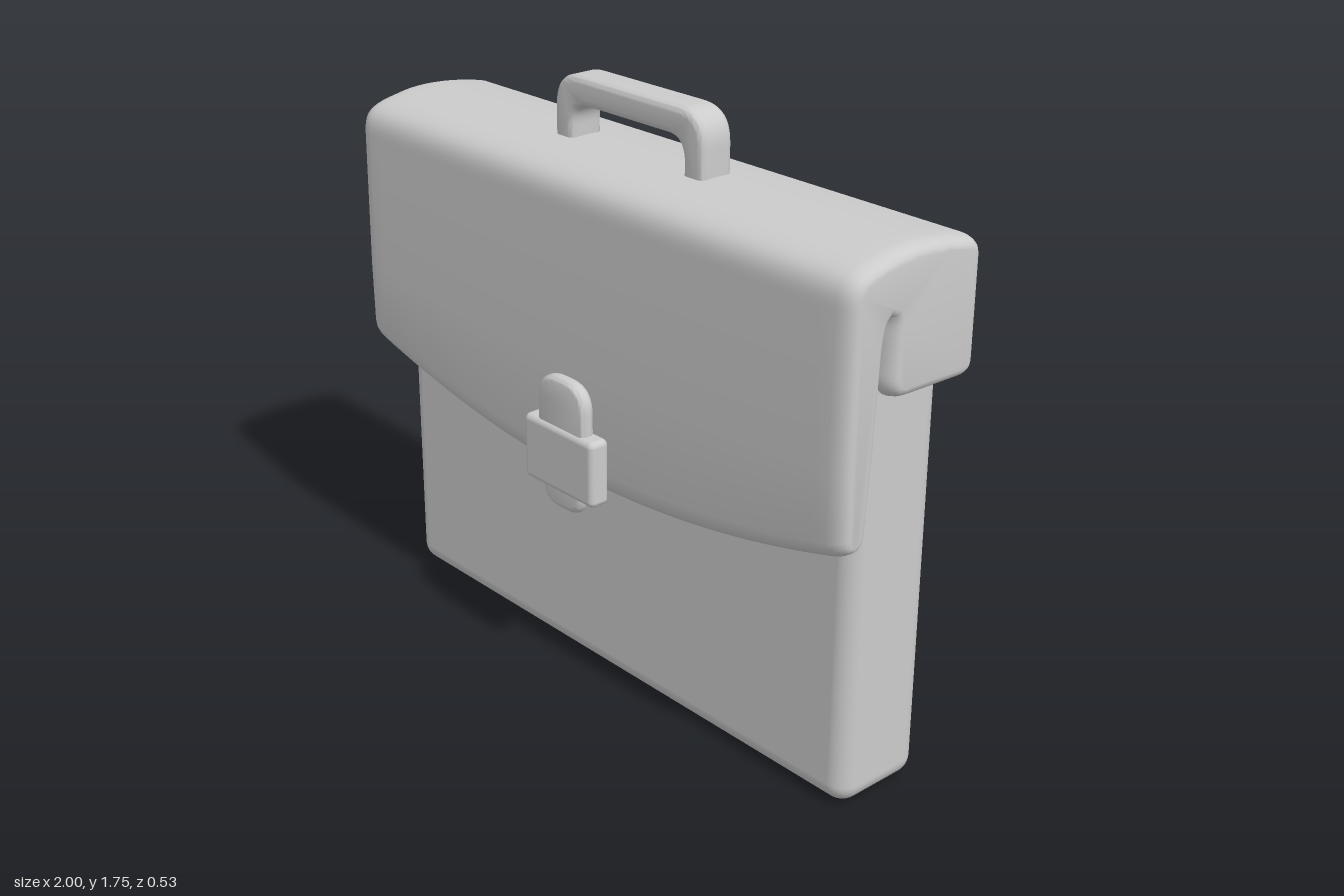
import * as THREE from 'three';
import { toCreasedNormals } from 'three/addons/utils/BufferGeometryUtils.js';
import { RoundedBoxGeometry } from 'three/addons/geometries/RoundedBoxGeometry.js';

const material = new THREE.MeshStandardMaterial({ color: 0xcccccc });

function part(name, geometry, x = 0, y = 0, z = 0) {
  const mesh = new THREE.Mesh(geometry, material);
  mesh.name = name;
  mesh.position.set(x, y, z);
  return mesh;
}

// Extrudes a shape to a total depth, centred, with rounded edges inside the outline
function softExtrude(shape, depth, bevelSize, bevelThickness = bevelSize, steps = 1) {
  const geometry = new THREE.ExtrudeGeometry(shape, {
    depth: depth - 2 * bevelThickness, steps, curveSegments: 10,
    bevelSize, bevelThickness, bevelOffset: -bevelSize, bevelSegments: 5,
  });
  return geometry.translate(0, 0, bevelThickness - depth / 2);
}

// Cover: side profile (z, y) swept across the width, with a bowed lower edge
function coverGeometry() {
  const s = new THREE.Shape();
  s.moveTo(-0.21, 1.17);
  s.quadraticCurveTo(-0.265, 1.17, -0.265, 1.225);
  s.lineTo(-0.265, 1.49);
  s.quadraticCurveTo(-0.265, 1.54, -0.21, 1.547);
  s.bezierCurveTo(-0.1, 1.57, 0, 1.575, 0.08, 1.555);
  s.bezierCurveTo(0.17, 1.54, 0.2, 1.52, 0.2, 1.45);
  s.lineTo(0.203, 1.0);
  s.lineTo(0.2, 0.72);
  s.bezierCurveTo(0.198, 0.626, 0.102, 0.626, 0.1, 0.72);
  s.lineTo(0.085, 1.0);
  s.lineTo(0.072, 1.3);
  s.bezierCurveTo(0.068, 1.4, 0.042, 1.42, 0.045, 1.36);
  s.lineTo(0.05, 1.25);
  s.quadraticCurveTo(0.055, 1.175, -0.02, 1.175);
  s.closePath();

  const geometry = softExtrude(s, 2, 0.03, 0.055, 40).rotateY(-Math.PI / 2);
  const p = geometry.attributes.position;
  for (let i = 0; i < p.count; i++) {
    const weight = THREE.MathUtils.clamp((1.1 - p.getY(i)) / 0.45, 0, 1);
    p.setY(i, p.getY(i) + 0.155 * weight * p.getX(i) ** 2);
  }
  return toCreasedNormals(geometry, 0.7);
}

// Handle: a flat arch with rounded shoulders
function handleGeometry() {
  const s = new THREE.Shape();
  s.moveTo(-0.3, 1.5);
  s.lineTo(-0.3, 1.645);
  s.quadraticCurveTo(-0.3, 1.745, -0.2, 1.745);
  s.lineTo(0.2, 1.745);
  s.quadraticCurveTo(0.3, 1.745, 0.3, 1.645);
  s.lineTo(0.3, 1.5);
  s.lineTo(0.222, 1.5);
  s.lineTo(0.222, 1.6);
  s.quadraticCurveTo(0.222, 1.663, 0.16, 1.663);
  s.lineTo(-0.16, 1.663);
  s.quadraticCurveTo(-0.222, 1.663, -0.222, 1.6);
  s.lineTo(-0.222, 1.5);
  s.closePath();
  return toCreasedNormals(softExtrude(s, 0.11, 0.02), 0.7);
}

// Clasp tab: straight at y = 0, rounded at its far end
function tabGeometry(halfWidth, height, radius, depth) {
  const s = new THREE.Shape();
  s.moveTo(-halfWidth, 0);
  s.lineTo(halfWidth, 0);
  s.lineTo(halfWidth, height - radius);
  s.quadraticCurveTo(halfWidth, height, halfWidth - radius, height);
  s.lineTo(radius - halfWidth, height);
  s.quadraticCurveTo(-halfWidth, height, -halfWidth, height - radius);
  s.closePath();
  return toCreasedNormals(softExtrude(s, depth, 0.018), 0.7);
}

export function createModel() {
  const model = new THREE.Group();
  model.name = 'briefcase';

  model.add(part('body', new RoundedBoxGeometry(1.9, 1.48, 0.295, 6, 0.06), 0, 0.74, -0.055));
  model.add(part('cover', coverGeometry()));
  model.add(part('handle', handleGeometry(), 0, 0, -0.035));

  // Clasp: block with a tab above and a smaller one below
  const clasp = new THREE.Group();
  clasp.name = 'clasp';
  clasp.position.set(-0.008, 0.738, 0.232);
  clasp.add(part('claspBlock', new RoundedBoxGeometry(0.295, 0.197, 0.066, 4, 0.018)));
  clasp.add(part('upperTab', tabGeometry(0.1, 0.242, 0.085, 0.046)));
  const lowerTab = part('lowerTab', tabGeometry(0.085, 0.156, 0.065, 0.04));
  lowerTab.rotation.z = Math.PI;
  clasp.add(lowerTab);
  model.add(clasp);

  return model;
}
